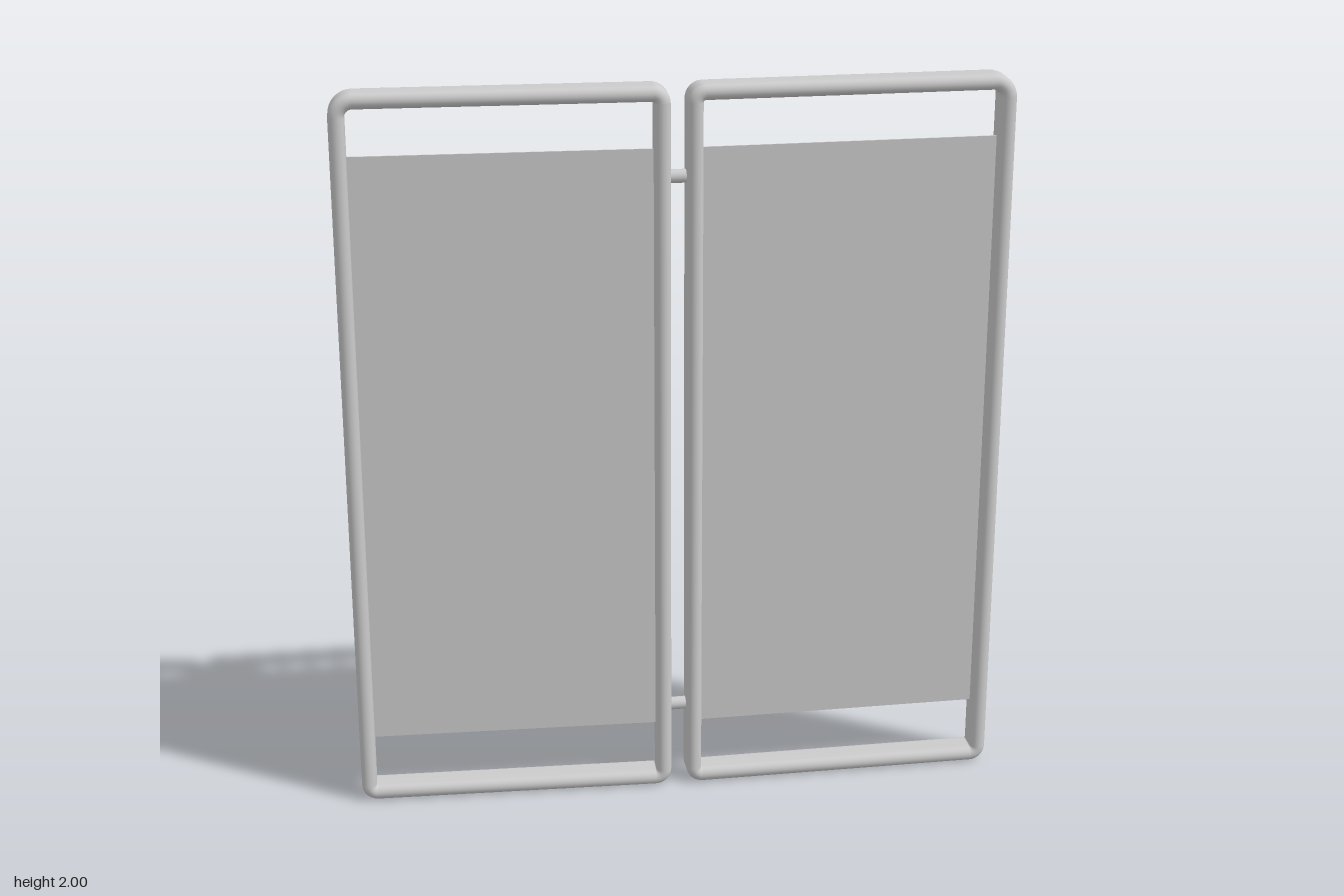
import * as THREE from 'three';

const W = 0.868, H = 2;            // outer size of one panel
const HALF_W = 0.021, HALF_D = 0.045; // half width and half depth of the tube

// Closed sweep of a stadium-shaped tube round a rectangle.
// Local x runs from 0 (hinge side) to W (outer side).
function frameGeometry() {
  // centre line: corner centre, radius, start angle
  const corners = [
    [W, 0, -1, 1, 0.024, -90], [W, H, -1, -1, 0.042, 0],
    [0, H, 1, -1, 0.026, 90], [0, 0, 1, 1, 0.024, 180],
  ];
  const rings = [];
  const steps = 8;
  for (const [x, y, sx, sy, r, start] of corners) {
    const cx = x + sx * (HALF_W + r), cy = y + sy * (HALF_W + r);
    for (let i = 0; i <= steps; i++) {
      const a = THREE.MathUtils.degToRad(start + 90 * i / steps);
      rings.push([cx + r * Math.cos(a), cy + r * Math.sin(a), Math.cos(a), Math.sin(a)]);
    }
  }
  // cross-section: two half circles joined by straight sides
  const section = [];
  for (let side = 0; side < 2; side++) {
    for (let i = 0; i <= 10; i++) {
      const a = Math.PI * (side + i / 10);
      section.push([HALF_W * Math.cos(a), HALF_W * Math.sin(a) + (side ? -1 : 1) * (HALF_D - HALF_W)]);
    }
  }
  const pos = [], index = [], n = section.length;
  rings.forEach(([x, y, nx, ny], i) => {
    section.forEach(([o, z], j) => {
      pos.push(x + nx * o, y + ny * o, z);
      const a = i * n + j, b = i * n + (j + 1) % n;
      const k = ((i + 1) % rings.length) * n;
      const c = k + j, d = k + (j + 1) % n;
      index.push(a, c, b, b, c, d);
    });
  });
  const g = new THREE.BufferGeometry();
  g.setAttribute('position', new THREE.Float32BufferAttribute(pos, 3));
  g.setIndex(index);
  g.computeVertexNormals();
  return g;
}

export function createModel() {
  const model = new THREE.Group();
  model.name = 'foldingScreen';
  const grey = new THREE.MeshStandardMaterial({ color: 0xcccccc });
  const add = (parent, name, geometry) => {
    const mesh = new THREE.Mesh(geometry, grey);
    mesh.name = name;
    parent.add(mesh);
    return mesh;
  };

  const frame = frameGeometry();
  const mirroredFrame = frame.clone().rotateY(Math.PI); // symmetric in depth
  const sheet = new THREE.BoxGeometry(W - 2 * HALF_W, 1.65, 0.004);

  // Two panels; the right one is folded slightly back
  for (const side of [1, -1]) {
    const panel = new THREE.Group();
    panel.name = side > 0 ? 'leftPanel' : 'rightPanel';
    add(panel, 'tubeFrame', side > 0 ? frame : mirroredFrame);
    add(panel, 'fabricSheet', sheet).position.set(side * W / 2, 1.005, 0);
    panel.position.set(side * 0.021, 0, 0.016);
    if (side < 0) panel.rotation.y = -0.046;
    model.add(panel);
  }

  // Hinge pins between the panels
  const pin = new THREE.CylinderGeometry(0.018, 0.018, 0.07, 20).rotateZ(Math.PI / 2);
  for (const y of [0.235, 1.755]) add(model, 'hingePin', pin).position.set(0, y, 0.014);

  return model;
}
